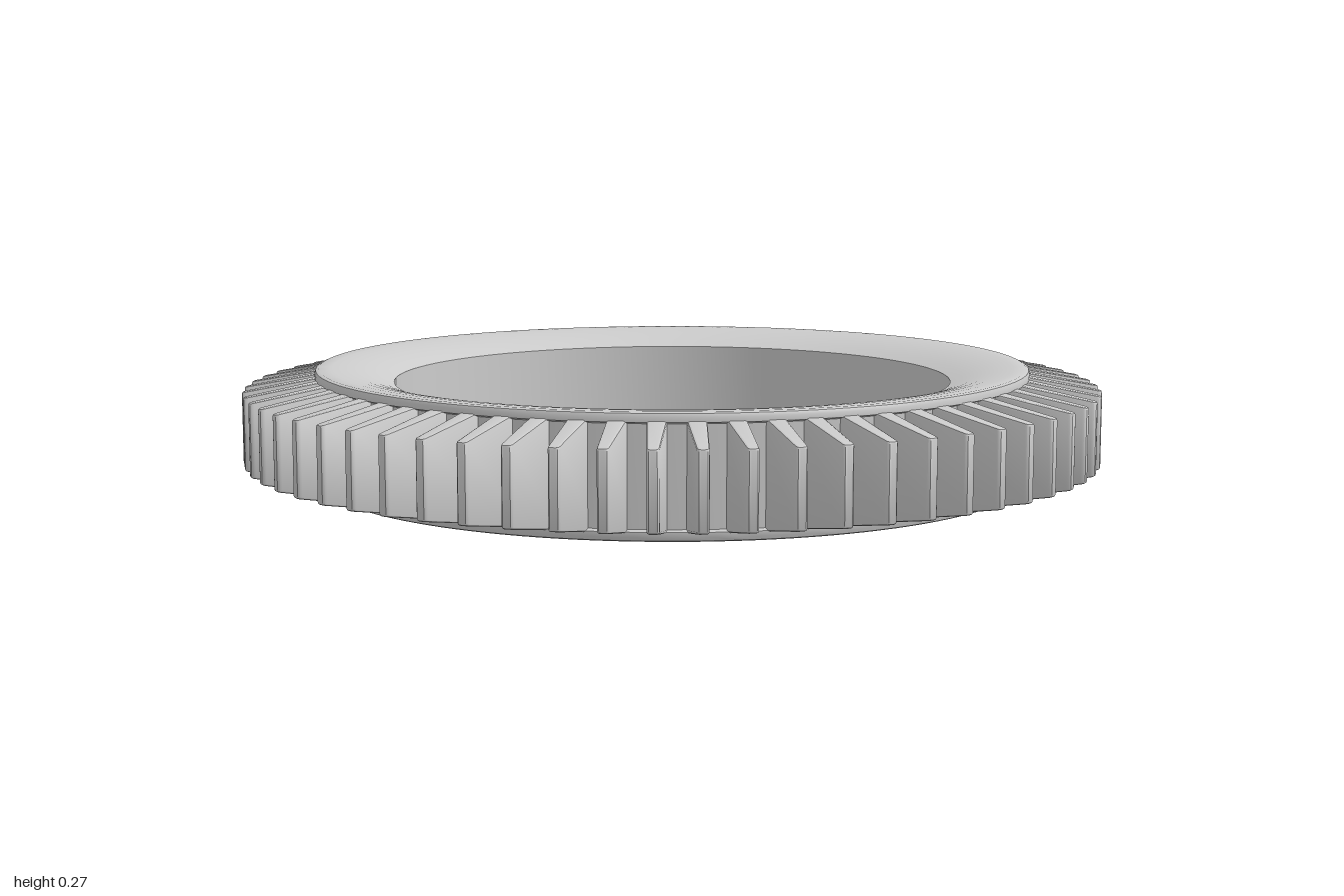
import * as THREE from 'three';
import { toCreasedNormals } from 'three/addons/utils/BufferGeometryUtils.js';

const TEETH = 64;
const MID = 0.133; // height of the ring's middle plane

// Ring section: straight bore, faces falling gently inward, narrow rims above the tooth root
function ringGeometry() {
  const upper = [];
  for (let i = 0; i <= 6; i++) {
    const t = i / 6;
    upper.push([0.652 + 0.173 * t, 0.133 - 0.036 * (1 - t) ** 2]);
  }
  upper.push([0.832, 0.13], [0.835, 0.123], [0.835, 0.112], [0.825, 0.108]);
  const lower = upper.map(([r, y]) => [r, -y]).reverse();
  const section = [...upper, ...lower, upper[0]].reverse()
    .map(([r, y]) => new THREE.Vector2(r, y + MID));
  return toCreasedNormals(new THREE.LatheGeometry(section, 128), 0.5);
}

// Tooth: tapered in plan and in height, with softened edges
function toothGeometry() {
  const bevel = 0.005;
  const plan = new THREE.Shape();
  plan.moveTo(0.8, -0.017);
  plan.lineTo(0.989, -0.008);
  plan.quadraticCurveTo(0.995, -0.008, 0.995, -0.003);
  plan.lineTo(0.995, 0.003);
  plan.quadraticCurveTo(0.995, 0.008, 0.989, 0.008);
  plan.lineTo(0.8, 0.017);
  plan.closePath();
  const geo = new THREE.ExtrudeGeometry(plan, {
    depth: 2 - 2 * bevel, bevelEnabled: true, bevelSize: bevel,
    bevelThickness: 0.06, bevelSegments: 2, curveSegments: 3,
  });
  geo.translate(0, 0, -1 + bevel);
  geo.rotateX(-Math.PI / 2);
  // Lower the half-height towards the tip
  const p = geo.attributes.position;
  for (let i = 0; i < p.count; i++) {
    const t = (p.getX(i) - 0.835) / 0.165;
    p.setY(i, MID + (p.getY(i) / 1.055) * (0.114 - 0.03 * t));
  }
  return toCreasedNormals(geo, 0.6);
}

export function createModel() {
  const model = new THREE.Group();
  model.name = 'gearRing';
  const material = new THREE.MeshStandardMaterial({ color: 0xcccccc });

  const ring = new THREE.Mesh(ringGeometry(), material);
  ring.name = 'ring';
  model.add(ring);

  const teeth = new THREE.Group();
  teeth.name = 'teeth';
  const geo = toothGeometry();
  for (let i = 0; i < TEETH; i++) {
    const tooth = new THREE.Mesh(geo, material);
    tooth.name = 'tooth';
    tooth.rotation.y = ((i + 0.5) / TEETH) * Math.PI * 2;
    teeth.add(tooth);
  }
  model.add(teeth);
  return model;
}
